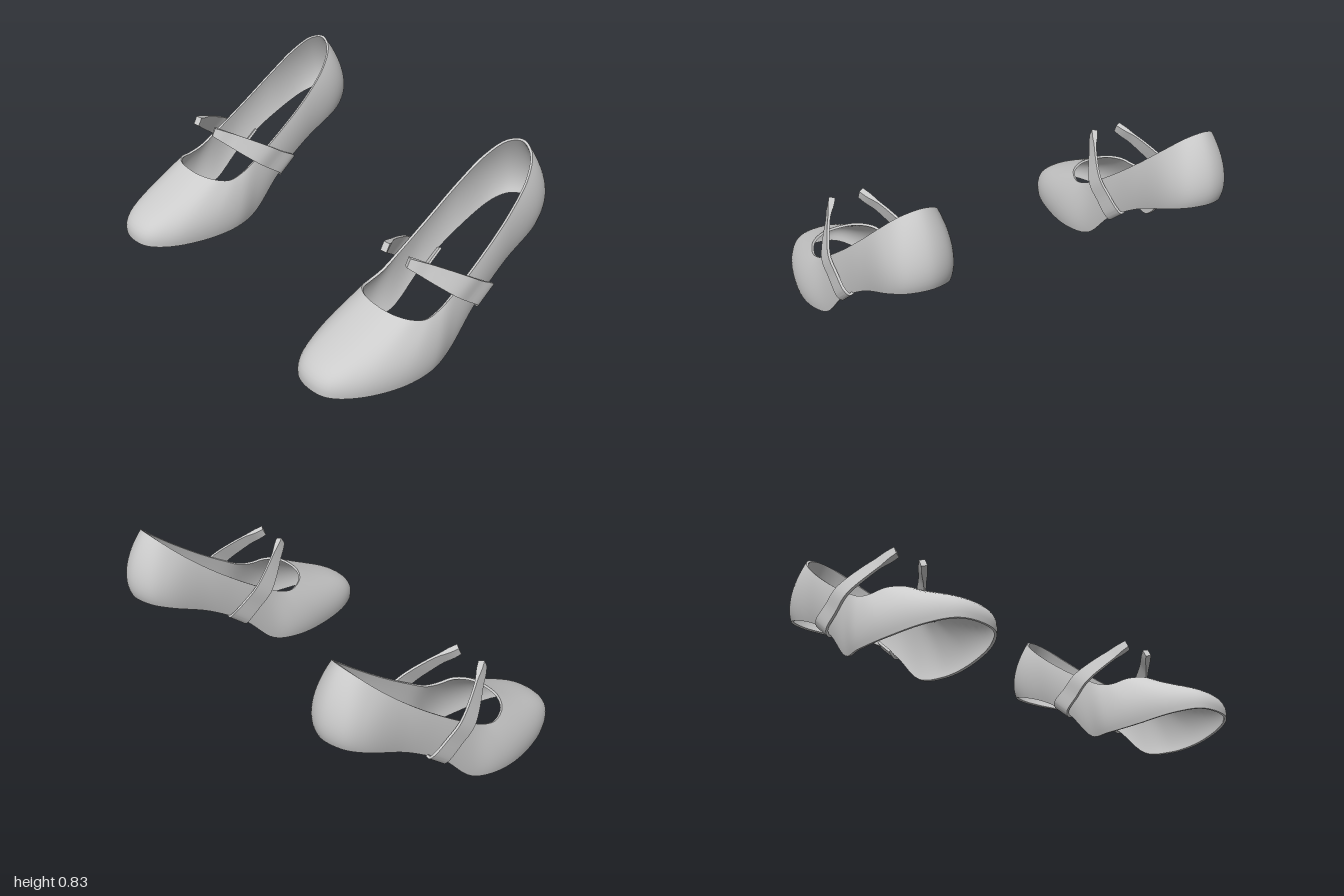
import * as THREE from 'three';
import { toCreasedNormals } from 'three/addons/utils/BufferGeometryUtils.js';

const material = new THREE.MeshStandardMaterial({ color: 0xcccccc });
const V = (x, y, z) => new THREE.Vector3(x, y, z);

// Half outlines from toe to heel as [half width, y, z]:
// sole edge, two control outlines for the bulge, and the opening edge.
const soleEdge = [
  [0, .03, .70], [.10, .028, .675], [.175, .018, .57], [.228, .004, .36], [.235, .01, .18], [.205, .035, .045],
  [.187, .21, -.133], [.168, .35, -.34], [.145, .448, -.56], [.095, .477, -.642], [0, .487, -.675],
];
const lowerBulge = [
  [0, .16, .72], [.112, .155, .69], [.195, .125, .575], [.258, .11, .34], [.258, .10, .165], [.222, .135, .035],
  [.2, .295, -.14], [.187, .435, -.345], [.165, .535, -.58], [.115, .565, -.675], [0, .575, -.715],
];
const upperBulge = [
  [0, .175, .56], [.098, .175, .535], [.175, .185, .45], [.225, .2, .27], [.23, .215, .145], [.212, .25, .02],
  [.202, .385, -.15], [.19, .525, -.345], [.165, .64, -.56], [.108, .695, -.635], [0, .705, -.675],
];
const openingEdge = [
  [0, .315, .32], [.09, .312, .308], [.16, .3, .263], [.193, .285, .19], [.197, .302, .115], [.197, .36, .01],
  [.19, .47, -.155], [.174, .61, -.34], [.14, .73, -.48], [.08, .807, -.56], [0, .833, -.587],
];

// Strap stations: [half width, lower edge y, z, upper edge y, z]
const strapStations = [
  [.145, .225, -.13, .305, -.225], [.187, .2, -.133, .28, -.23], [.206, .22, -.125, .3, -.22],
  [.21, .28, -.05, .352, -.14], [.209, .34, .024, .406, -.066], [.152, .425, .12, .485, .065],
  [.075, .513, .212, .553, .192],
];

const centre = z => .745 + .012 * THREE.MathUtils.smoothstep(z, -.5, .2) * (1 - THREE.MathUtils.smoothstep(z, .3, .7));

// Skin a grid of points; each row is a closed loop
function skin(rows, closed) {
  const n = rows[0].length, index = [];
  const last = closed ? rows.length : rows.length - 1;
  for (let i = 0; i < last; i++) {
    for (let j = 0; j < n; j++) {
      const a = i * n + j, b = ((i + 1) % rows.length) * n + j;
      const c = ((i + 1) % rows.length) * n + (j + 1) % n, d = i * n + (j + 1) % n;
      index.push(a, b, c, a, c, d);
    }
  }
  if (!closed) {
    const e = (rows.length - 1) * n;
    index.push(0, 1, 2, 0, 2, 3, e, e + 2, e + 1, e, e + 3, e + 2);
  }
  const geometry = new THREE.BufferGeometry().setFromPoints(rows.flat());
  geometry.setIndex(index);
  return toCreasedNormals(geometry, 0.8);
}

// Closed smooth loop from a half outline
function loop(half, side) {
  const place = k => ([w, y, z]) => V(side * centre(z) + k * w, y, z);
  const mirrored = half.slice(1, -1).reverse();
  return new THREE.CatmullRomCurve3([...half.map(place(1)), ...mirrored.map(place(-1))], true);
}

// Thin shell: outer wall, rims and inner wall
function upperGeometry(side) {
  const around = 120, up = 14, thickness = .012;
  const loops = [soleEdge, lowerBulge, upperBulge, openingEdge].map(h => loop(h, side));
  const outer = [];
  for (let i = 0; i < around; i++) {
    const section = new THREE.CubicBezierCurve3(...loops.map(l => l.getPoint(i / around)));
    outer.push(section.getPoints(up));
  }
  const rows = outer.map((row, i) => {
    const next = outer[(i + 1) % around], prev = outer[(i + around - 1) % around];
    const inner = row.map((p, j) => {
      const du = next[j].clone().sub(prev[j]);
      const dv = row[Math.min(j + 1, up)].clone().sub(row[Math.max(j - 1, 0)]);
      return p.clone().addScaledVector(du.cross(dv).normalize(), -thickness);
    });
    return [...row, ...inner.reverse()];
  });
  return skin(rows, true);
}

// Tapered band hooked under the sole edge and curving in over the instep
function strapGeometry(side, k) {
  const steps = 48;
  const edge = o => new THREE.CatmullRomCurve3(
    strapStations.map(s => V(side * .753 + k * s[0], s[o], s[o + 1]))).getPoints(steps);
  const low = edge(1), high = edge(3);
  const mid = low.map((p, i) => p.clone().lerp(high[i], .5));
  const rows = mid.map((p, i) => {
    const along = mid[Math.min(i + 1, steps)].clone().sub(mid[Math.max(i - 1, 0)]);
    const normal = along.cross(high[i].clone().sub(low[i])).normalize();
    const t = .006 + .009 * THREE.MathUtils.smoothstep(i / steps, .88, .97);
    const corner = (q, s) => q.clone().addScaledVector(normal, s * t);
    return [corner(low[i], 1), corner(high[i], 1), corner(high[i], -1), corner(low[i], -1)];
  });
  return skin(rows, false);
}

export function createModel() {
  const model = new THREE.Group();
  model.name = 'pairOfShoes';
  for (const side of [1, -1]) {
    const shoe = new THREE.Group();
    shoe.name = side > 0 ? 'leftShoe' : 'rightShoe';
    const add = (name, geometry) => {
      const mesh = new THREE.Mesh(geometry, material);
      mesh.name = name;
      shoe.add(mesh);
    };
    add('upper', upperGeometry(side));
    add('outerStrap', strapGeometry(side, side));
    add('innerStrap', strapGeometry(side, -side));
    model.add(shoe);
  }
  return model;
}
